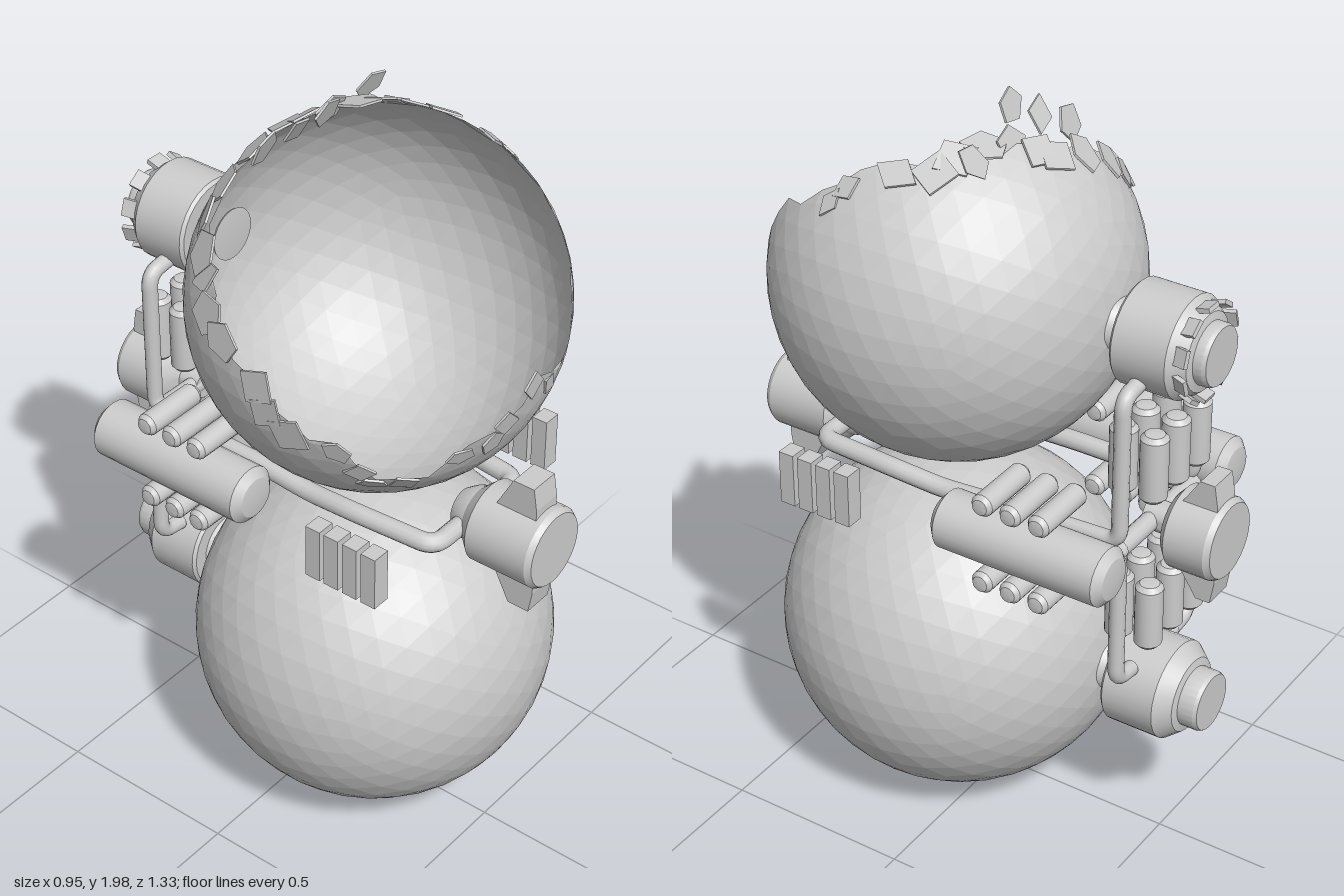
import * as THREE from 'three';
import { toCreasedNormals, mergeGeometries } from 'three/addons/utils/BufferGeometryUtils.js';

const V = (x, y, z) => new THREE.Vector3(x, y, z);
const R = 0.468;
const UP = V(0, 1.476, 0.122); // centre of the broken sphere
const LOW = V(0, 0.472, 0.122); // centre of the whole sphere

export function createModel() {
  const root = new THREE.Group();
  const body = new THREE.Group();
  body.name = 'body';
  body.position.x = 0.006;
  root.add(body);
  const grey = new THREE.MeshStandardMaterial({ color: 0xcccccc, side: THREE.DoubleSide });
  grey.name = 'light grey';

  let seed = 7;
  const rnd = () => ((seed = (seed * 16807) % 2147483647) / 2147483647);

  function add(name, geo, x = 0, y = 0, z = 0) {
    const m = new THREE.Mesh(geo, grey);
    m.name = name;
    m.position.set(x, y, z);
    body.add(m);
    return m;
  }
  // Turned part along z from [radius, z] pairs, z ascending
  const turned = (pts, seg = 28) => toCreasedNormals(
    new THREE.LatheGeometry(pts.map(p => new THREE.Vector2(p[0], p[1])), seg).rotateX(Math.PI / 2), 0.5);
  // Rod with bevelled ends, along z
  const rod = (r, len, seg = 16, b = 0.012) => turned([[0, -len / 2 - b * 0.4], [r * 0.7, -len / 2], [r, -len / 2 + b],
    [r, len / 2 - b], [r * 0.7, len / 2], [0, len / 2 + b * 0.4]], seg);
  // Pipe with rounded elbows through corner points
  function pipe(pts, r) {
    const path = new THREE.CurvePath();
    let last = pts[0];
    for (let i = 1; i < pts.length - 1; i++) {
      const p = pts[i];
      const cut = q => p.clone().add(q.clone().sub(p).setLength(Math.min(0.04, q.distanceTo(p) * 0.45)));
      const a = cut(pts[i - 1]), b = cut(pts[i + 1]);
      path.add(new THREE.LineCurve3(last, a));
      path.add(new THREE.QuadraticBezierCurve3(a, p, b));
      last = b;
    }
    path.add(new THREE.LineCurve3(last, pts[pts.length - 1]));
    return new THREE.TubeGeometry(new THREE.CatmullRomCurve3(path.getSpacedPoints(40)), 70, r, 12);
  }

  // Whole lower sphere
  add('lowerSphere', new THREE.IcosahedronGeometry(R, 7), ...LOW.toArray())
    .geometry.computeVertexNormals();

  // Jagged rim of the broken sphere, as offsets from its centre
  const rim = [[.3, .305, .18], [.31, .25, .24], [.2, .41, -.075], [.1, .43, -.15], [0, .407, -.225], [-.2, .308, -.285],
    [-.31, .25, -.25], [-.36, .2, -.21], [-.44, .1, -.1], [-.46, 0, 0], [-.4, -.12, .2], [-.33, -.225, .24],
    [-.2, -.25, .335], [-.17, -.145, .41], [0, -.025, .46], [.17, -.075, .425], [.22, .075, .4], [.25, .175, .35]]
    .map(p => V(...p).normalize());
  const axis = V(-.3, .6, .74).normalize();
  const e1 = V(1, 0, 0).cross(axis).normalize(), e2 = axis.clone().cross(e1);
  const polar = d => [Math.atan2(d.dot(e2), d.dot(e1)), Math.acos(THREE.MathUtils.clamp(d.dot(axis), -1, 1))];
  const fromPolar = (phi, t) => axis.clone().multiplyScalar(Math.cos(t))
    .addScaledVector(e1, Math.sin(t) * Math.cos(phi)).addScaledVector(e2, Math.sin(t) * Math.sin(phi));
  const edge = rim.map(polar).sort((a, b) => a[0] - b[0]);
  function rimAngle(phi) {
    const n = edge.length;
    let i = edge.findIndex(p => p[0] > phi);
    if (i < 0) i = n;
    const a = edge[(i + n - 1) % n], b = edge[i % n];
    const span = (b[0] - a[0] + Math.PI * 2) % (Math.PI * 2);
    const t = ((phi - a[0] + Math.PI * 2) % (Math.PI * 2)) / span;
    return a[1] + (b[1] - a[1]) * t + 0.055 * Math.sin(phi * 17) * Math.sin(phi * 7);
  }

  // Broken upper sphere: drop faces in the opening, pull cut corners to the rim
  const src = new THREE.IcosahedronGeometry(R, 7).getAttribute('position');
  const kept = [];
  for (let i = 0; i < src.count; i += 3) {
    let inside = 0;
    const tri = [0, 1, 2].map(k => {
      const d = new THREE.Vector3().fromBufferAttribute(src, i + k).normalize();
      const [phi, t] = polar(d), lim = rimAngle(phi);
      if (t >= lim) return d;
      inside++;
      return fromPolar(phi, lim);
    });
    if (inside < 3) tri.forEach(d => kept.push(d.x * R, d.y * R, d.z * R));
  }
  const shell = new THREE.BufferGeometry();
  shell.setAttribute('position', new THREE.Float32BufferAttribute(kept, 3));
  shell.computeVertexNormals();
  add('brokenUpperSphere', shell, ...UP.toArray());

  // Loose shell chips: flush along the rim, upright at the very top
  function chip(pos, normal, size, tilt) {
    const geo = new THREE.CylinderGeometry(size, size, 0.006, 4 + Math.floor(rnd() * 2)).toNonIndexed();
    geo.scale(1, 1, 0.65 + rnd() * 0.35);
    geo.computeVertexNormals();
    const m = add('shellChip', geo, ...pos.add(UP).toArray());
    m.quaternion.setFromUnitVectors(V(0, 1, 0), normal);
    m.rotateY(rnd() * 6.28);
    m.rotateX(tilt);
  }
  for (let i = 0; i < 34; i++) {
    const phi = -Math.PI + (i + rnd() * 0.6) * Math.PI * 2 / 34;
    const d = fromPolar(phi, rimAngle(phi) + 0.02 + rnd() * 0.08);
    if (d.x > 0.3 && d.z > 0.3) continue;
    const back = d.z < 0.2;
    chip(d.clone().multiplyScalar(R * (back ? 1.008 : 1)), d, back ? 0.06 : 0.04, (rnd() - 0.5) * (back ? 0.35 : 0.3));
  }
  for (const [x, y] of [[-.15, .4], [-.085, .435], [-.025, .47], [.06, .42], [.2, .43]]) {
    chip(V(x, y, -.1 - (0.5 - y) * 1.2), V(x, .45, -.9).normalize(), 0.05, 0.1);
  }

  // Rear ports on both spheres
  const port = [[0, -.638], [.075, -.638], [.08, -.628], [.08, -.585], [.1, -.58], [.132, -.54], [.132, -.395],
    [.124, -.387], [.085, -.387], [.055, -.36], [.07, -.335], [0, -.33]];
  add('lowerPort', turned(port), 0, LOW.y, 0);
  const upperPort = port.map(([r, z]) => [r, z < -.6 ? z + .02 : z]);
  add('upperPort', turned(upperPort), 0, UP.y, 0);
  const petals = [];
  for (let i = 0; i < 10; i++) {
    petals.push(new THREE.BoxGeometry(0.045, 0.012, 0.055).rotateX(0.3).translate(0, 0.115, -0.565)
      .rotateZ(i * Math.PI / 5));
  }
  add('portPetals', mergeGeometries(petals), 0, UP.y, 0);

  // Front and back pods with fins
  const MID = 0.975;
  add('frontPod', turned([[0, .39], [.05, .39], [.07, .42], [.075, .44], [.108, .475], [.108, .65], [.098, .665], [0, .665]]),
    0, MID, 0);
  add('backPod', turned([[0, -.665], [.098, -.665], [.108, -.65], [.108, -.54], [.085, -.52], [.04, -.5], [.04, -.44], [0, -.44]]),
    0, MID, 0);
  function fin(name, z0, s, len, h) {
    for (const up of [1, -1]) {
      const shape = new THREE.Shape([[0, .08], [.0, h - .06], [.01, h], [len, h], [len + .045, .1], [len + .045, .08]]
        .map(p => new THREE.Vector2(...p)));
      const geo = new THREE.ExtrudeGeometry(shape, { depth: 0.084, bevelEnabled: false })
        .translate(0, 0, -0.042).rotateY(s > 0 ? Math.PI / 2 : -Math.PI / 2);
      const m = add(name, geo, 0, MID, z0);
      if (up < 0) m.rotation.z = Math.PI;
    }
  }
  fin('frontFin', 0.635, 1, 0.07, 0.187);
  fin('backFin', -0.65, -1, 0.05, 0.17);

  for (const s of [1, -1]) {
    // Side tanks and their cross rods
    add('sideTank', rod(0.077, 0.49, 24, 0.02), s * 0.291, MID, -0.272);
    for (const y of [1.085, 0.862]) {
      for (const z of [-0.175, -0.255, -0.335]) {
        add('crossRod', rod(0.03, 0.19), s * 0.257, y, z).rotation.y = Math.PI / 2;
      }
    }
    // Cooling plates beside the front pod
    for (let i = 0; i < 4; i++) {
      add('coolingPlate', new THREE.BoxGeometry(0.05, 0.148, 0.043), s * 0.35, MID, 0.388 - i * 0.056);
    }
    // Long pipe from the front pod to the rear
    add('longPipe', pipe([V(s * .03, MID, .43), V(s * .17, MID, .43), V(s * .19, MID + .005, .2),
      V(s * .18, MID - .01, .05), V(s * .175, MID, -.12), V(s * .175, MID, -.3)], 0.025));
    // Rear pipes joining the ports to the long pipes
    add('upperPipe', pipe([V(s * .1, 1.405, -.46), V(s * .175, 1.395, -.46), V(s * .175, MID + .02, -.46),
      V(s * .175, MID + .01, -.25)], 0.021));
    add('lowerPipe', pipe([V(s * .1, 0.57, -.46), V(s * .175, 0.58, -.46), V(s * .175, MID - .02, -.46),
      V(s * .175, MID - .01, -.25)], 0.021));
    add('podPipe', pipe([V(0, MID, -.46), V(s * .08, MID, -.46), V(s * .175, MID, -.46)], 0.025));
  }
  // Upright canisters between the ports and the back pod
  for (const x of [-0.1, 0, 0.1]) {
    for (const y of [1.185, 0.755]) {
      for (const z of [-0.42, -0.505]) {
        add('canister', rod(0.036, 0.185), x, y, z).rotation.x = Math.PI / 2;
      }
    }
  }
  return root;
}
